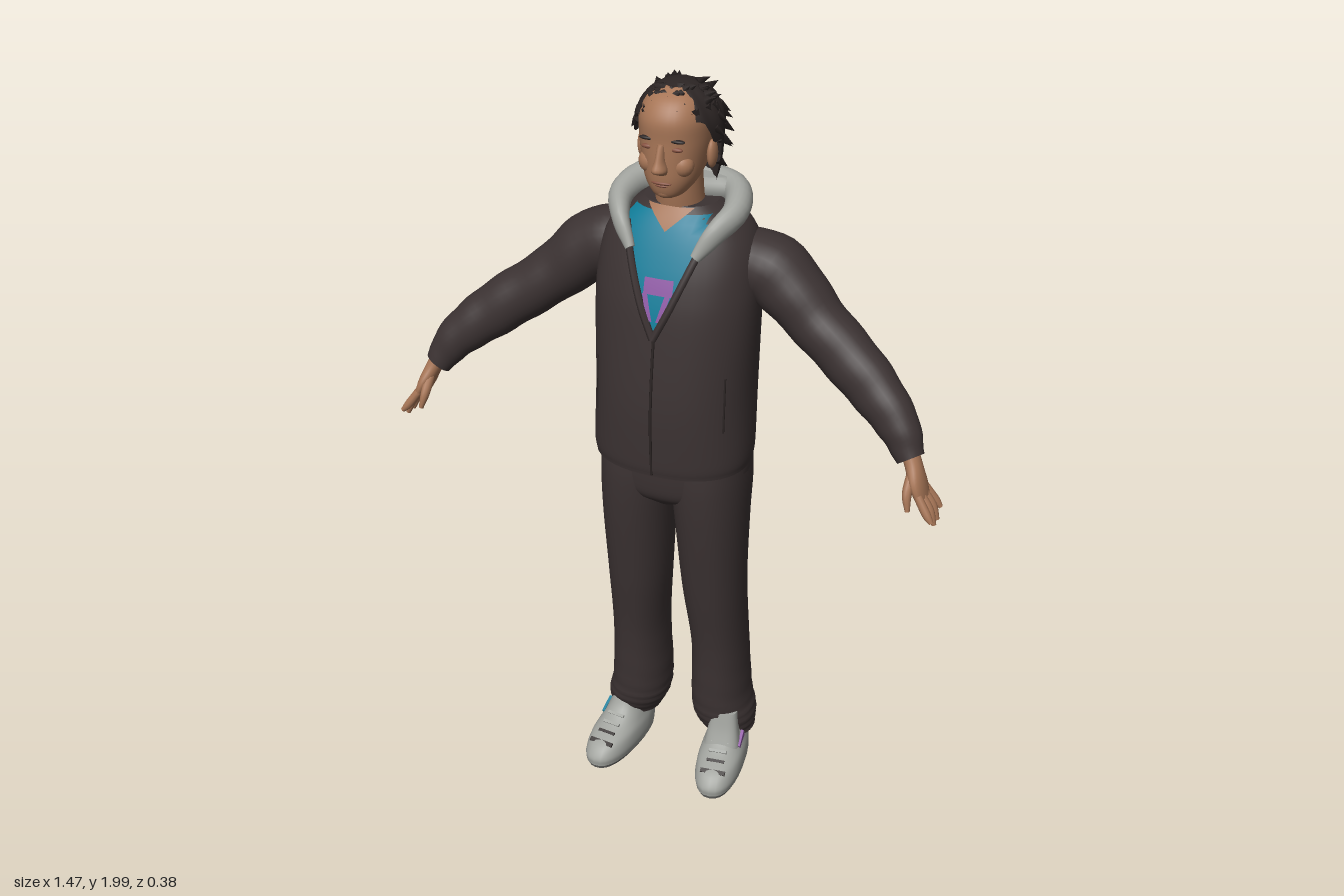
import * as THREE from 'three';

const V = (x, y, z) => new THREE.Vector3(x, y, z);
const mat = (name, color, side = THREE.FrontSide) => {
  const m = new THREE.MeshStandardMaterial({ color, side });
  m.name = name;
  return m;
};

// rows: [x, y, z, radius towards ref, radius across]; returns centre and radius curves
const curvesOf = rows => [
  new THREE.CatmullRomCurve3(rows.map(r => V(r[0], r[1], r[2])), false, 'catmullrom', 0.5),
  new THREE.CatmullRomCurve3(rows.map(r => V(r[3], r[4], 0)), false, 'catmullrom', 0.5),
];
const spow = (v, p) => Math.sign(v) * Math.pow(Math.abs(v), 2 / p);

// Skin of superelliptic rings along a curve, closed by end caps
function loft(rows, { ref = V(0, 0, 1), flat = false, p = 2, n = 28, sub = 5, ripple = null } = {}) {
  const [path, rad] = curvesOf(rows), steps = (rows.length - 1) * sub;
  const pos = [], idx = [];
  for (let i = 0; i <= steps; i++) {
    const k = i / steps, c = path.getPoint(k), r = rad.getPoint(k);
    const t = flat ? V(0, 1, 0) : path.getTangent(k);
    const u = ref.clone().addScaledVector(t, -ref.dot(t)).normalize(), v = t.clone().cross(u);
    for (let j = 0; j < n; j++) {
      const a = j / n * Math.PI * 2, w = ripple ? ripple(k, a) : 1;
      const q = c.clone().addScaledVector(u, spow(Math.cos(a), p) * r.x * w)
        .addScaledVector(v, spow(Math.sin(a), p) * r.y * w);
      pos.push(q.x, q.y, q.z);
      if (i < steps) {
        const b = i * n + j, d = i * n + (j + 1) % n;
        idx.push(b, d, d + n, b, d + n, b + n);
      }
    }
  }
  for (const end of [0, steps]) {
    const c = path.getPoint(end / steps), o = pos.length / 3;
    pos.push(...pos.slice(end * n * 3, (end + 1) * n * 3), c.x, c.y, c.z);
    for (let j = 0; j < n; j++) {
      const b = o + j, d = o + (j + 1) % n;
      end ? idx.push(o + n, b, d) : idx.push(o + n, d, b);
    }
  }
  return finish(pos, idx);
}
function finish(pos, idx) {
  const g = new THREE.BufferGeometry();
  g.setAttribute('position', new THREE.Float32BufferAttribute(pos, 3));
  g.setIndex(idx);
  g.computeVertexNormals();
  return g;
}
// Open grid f(u, v) -> Vector3
function sheet(nu, nv, f) {
  const pos = [], idx = [];
  for (let i = 0; i <= nv; i++) for (let j = 0; j <= nu; j++) {
    pos.push(...f(j / nu, i / nv).toArray());
    const b = i * (nu + 1) + j;
    if (i < nv && j < nu) idx.push(b, b + 1, b + nu + 2, b, b + nu + 2, b + nu + 1);
  }
  return finish(pos, idx);
}

// Jacket body rows, also used to lay panels on the chest
const TP = 2.3;
const torsoRows = [[.205, .995, .16, -.145], [.21, 1.04, .165, -.156], [.207, 1.2, .165, -.185], [.212, 1.4, .14, -.177],
  [.212, 1.5, .117, -.185], [.2, 1.58, .088, -.183], [.165, 1.64, .06, -.168], [.095, 1.69, .03, -.12]]
  .map(([rx, y, f, b]) => [0, y, (f + b) / 2, (f - b) / 2, rx]);
const [torsoPath, torsoRad] = curvesOf(torsoRows);
function chestZ(x, y) {
  let lo = 0, hi = 1;
  for (let i = 0; i < 24; i++) {
    const m = (lo + hi) / 2;
    torsoPath.getPoint(m).y < y ? lo = m : hi = m;
  }
  const r = torsoRad.getPoint(lo);
  return torsoPath.getPoint(lo).z + r.x * Math.pow(Math.max(0, 1 - Math.pow(Math.abs(x) / r.y, TP)), 1 / TP);
}

export function createModel() {
  const root = new THREE.Group();
  root.name = 'standingMan';
  const cloth = mat('dark cloth', 0x3b3232), hairM = mat('dark hair', 0x2c2524, THREE.DoubleSide);
  const skin = mat('skin', 0xa67556), grey = mat('light grey', 0xa0a29d), teal = mat('teal', 0x0f7c98, THREE.DoubleSide);
  const purple = mat('purple', 0x8f5aa5, THREE.DoubleSide), sole = mat('sole grey', 0x696967), lip = mat('lip', 0x84503f);
  const add = (name, geo, m) => {
    const o = new THREE.Mesh(geo, m);
    o.name = name;
    root.add(o);
    return o;
  };
  const ball = (name, m, [x, y, z], [a, b, c]) => add(name, new THREE.SphereGeometry(1, 20, 14).scale(a, b, c).translate(x, y, z), m);
  const cord = (name, pts, r, m) => add(name, new THREE.TubeGeometry(new THREE.CatmullRomCurve3(pts), 24, r, 6), m);
  const panel = (name, m, y0, y1, xl, xr, off) => add(name, sheet(10, 14, (u, v) => {
    const y = y0 + (y1 - y0) * v, x = xl(y) + (xr(y) - xl(y)) * u;
    return V(x, y, chestZ(x, y) + off);
  }), m);

  // Jacket, open collar and shirt front
  add('jacketBody', loft(torsoRows, { flat: true, p: TP, n: 48, sub: 6 }), cloth);
  const vee = y => .115 * Math.pow(Math.max(0, (y - 1.38) / .28), .9);
  panel('shirtFront', teal, 1.38, 1.675, y => -vee(y), vee, .004);
  panel('throat', skin, 1.635, 1.69, y => -(y - 1.635) * 1.1, y => (y - 1.635) * 1.1, .007);
  panel('shirtPrint', purple, 1.49, 1.53, () => -.034, () => .042, .007);
  for (const s of [-1, 1])
    panel('shirtPrintSide', purple, 1.425, 1.49, y => s * (y - 1.38) * .27 - .007, y => s * (y - 1.38) * .27 + .007, .007);
  const onChest = (x, y, off) => V(x, y, chestZ(x, y) + off);
  cord('zip', [1.0, 1.1, 1.2, 1.3, 1.38].map(y => onChest(0, y, 0)), .004, hairM);
  add('shirtHem', loft([[0, .968, -.02, .134, .19], [0, 1.03, -.02, .134, .195]], { flat: true, p: 2.4, n: 40 }), teal);

  // Hood: rolled collar around the neck and a pouch hanging behind
  const side = [[.085, 1.585, .085, .014, .012], [.125, 1.645, .05, .03, .022], [.15, 1.68, -.02, .036, .032], [.115, 1.7, -.1, .042, .035]];
  add('hoodCollar', loft([...side, [0, 1.7, -.13, .045, .035], ...side.map(r => [-r[0], ...r.slice(1)]).reverse()],
    { ref: V(0, 1, 0), n: 20 }), grey);
  add('hoodPouch', loft([[0, 1.56, -.172, .015, .02], [0, 1.595, -.155, .038, .07], [0, 1.65, -.128, .052, .13],
    [0, 1.7, -.1, .05, .14], [0, 1.735, -.088, .03, .1]], { flat: true }), grey);

  // Trousers
  add('trouserSeat', loft([[0, .865, -.01, .09, .05], [0, .9, -.01, .125, .17], [0, .95, -.01, .135, .197], [0, 1.03, -.01, .137, .2]],
    { flat: true, p: 2.3, n: 40 }), cloth);

  for (const s of [-1, 1]) {
    const side = s > 0 ? 'left' : 'right';
    const X = rows => rows.map(([x, ...r]) => [x * s, ...r]);
    cord(side + 'Lapel', [1.38, 1.45, 1.52, 1.59, 1.64].map(y => onChest(s * vee(y), y, .006)), .01, cloth);
    cord(side + 'Pocket', [1.13, 1.2, 1.28].map(y => onChest(s * .172, y, 0)), .003, hairM);

    // Sleeve and trouser leg with soft folds
    add(side + 'Sleeve', loft(X([[.1, 1.535, -.07, .085, .07], [.23, 1.515, -.072, .092, .09], [.36, 1.41, -.045, .077, .075],
      [.5, 1.308, 0, .063, .071], [.6, 1.225, .045, .05, .056], [.65, 1.15, .076, .033, .036]]),
      { sub: 8, ripple: (k, a) => 1 + .02 * Math.sin(k * 46 + 2 * Math.sin(a)) }), cloth);
    add(side + 'TrouserLeg', loft(X([[.142, .095, -.055, .07, .07], [.13, .15, -.052, .094, .084], [.12, .22, -.05, .1, .08],
      [.117, .4, -.04, .1, .074], [.108, .6, -.015, .105, .083], [.104, .8, -.005, .12, .093],
      [.1, .93, -.01, .134, .1], [.1, 1.02, -.01, .13, .096]]),
      { flat: true, p: 2.2, sub: 8, ripple: (k, a) => 1 + .025 * Math.max(0, 1 - k * 2.2) * Math.sin(k * 95 + 2 * Math.sin(a)) }), cloth);

    // Hand with four fingers and a thumb
    add(side + 'Palm', loft(X([[.64, 1.18, .07, .024, .022], [.66, 1.14, .083, .028, .021], [.677, 1.1, .094, .042, .019],
      [.692, 1.065, .098, .04, .014]]), { n: 18 }), skin);
    for (let i = 0; i < 4; i++) {
      const k = i - 1.5, b = .03 * Math.abs(k) / 1.5;
      add(side + 'Finger', loft(X([[.687, 1.08, .097 + k * .02, .011, .011], [.715, 1.04, .099 + k * .026, .011, .011],
        [.73, .992 + b, .102 + k * .028, .006, .006]]), { n: 10, sub: 4 }), skin);
    }
    add(side + 'Thumb', loft(X([[.662, 1.125, .1, .013, .013], [.662, 1.085, .135, .013, .012], [.67, 1.045, .15, .006, .006]]),
      { n: 10, sub: 4 }), skin);

    // Shoe, turned slightly outward
    const shoe = new THREE.Group();
    shoe.name = side + 'Shoe';
    shoe.position.set(s * .152, 0, 0);
    shoe.rotation.y = s * .12;
    root.add(shoe);
    const part = (name, geo, m) => shoe.add(Object.assign(add(name, geo, m), { name }));
    part('sole', loft([[0, 0, .035, .143, .054], [0, .012, .035, .147, .058]], { flat: true, p: 2.4 }), sole);
    part('upper', loft([[0, .012, .036, .148, .06], [0, .035, .036, .147, .064], [0, .065, .022, .132, .062], [0, .09, -.008, .102, .055],
      [0, .12, -.028, .078, .048], [0, .16, -.035, .06, .042]], { flat: true, p: 2.4 }), grey);
    part('toeSeam', new THREE.BoxGeometry(.07, .006, .012).rotateX(.6).translate(0, .066, .143), hairM);
    for (let i = 0; i < 3; i++)
      part('lace', new THREE.BoxGeometry(.05, .008, .008).rotateX(.6).translate(0, .08 + i * .014, .112 - i * .026), i ? grey : hairM);
    part('sideAccent', new THREE.BoxGeometry(.008, .03, .05).rotateX(.5).translate(s * .05, .093, .02), s > 0 ? purple : teal);
    if (s > 0) part('tongue', loft([[0, .09, .035, .04, .05], [0, .14, .025, .03, .042], [0, .19, .015, .027, .036]], { flat: true, p: 2.8 }), grey);

    // Ear, eye and brow
    ball(side + 'Ear', skin, [s * .09, 1.822, -.012], [.012, .036, .022]);
    ball(side + 'Eye', lip, [s * .036, 1.856, .084], [.017, .006, .007]);
    ball(side + 'Brow', hairM, [s * .038, 1.877, .084], [.021, .005, .008]);
    ball(side + 'Cheek', skin, [s * .04, 1.81, .058], [.03, .03, .028]);
  }

  // Neck, head and face
  add('neck', loft([[0, 1.6, -.04, .07, .075], [0, 1.66, -.035, .068, .062], [0, 1.72, -.025, .066, .058], [0, 1.79, -.02, .066, .058]],
    { flat: true }), skin);
  add('head', loft([[0, 1.722, .045, .02, .018], [0, 1.735, .03, .053, .042], [0, 1.77, .01, .083, .066], [0, 1.82, -.01, .105, .08],
    [0, 1.87, -.014, .108, .087], [0, 1.92, -.015, .108, .087], [0, 1.96, -.02, .088, .07], [0, 1.985, -.02, .045, .035]],
    { flat: true, p: 2.2, n: 36 }), skin);
  add('nose', loft([[0, 1.795, .095, .012, .016], [0, 1.807, .1, .026, .019], [0, 1.83, .095, .021, .012], [0, 1.868, .088, .012, .009]],
    { flat: true, n: 14 }), skin);
  ball('mouth', lip, [0, 1.769, .088], [.026, .005, .008]);
  ball('lowerLip', lip, [0, 1.762, .087], [.018, .004, .007]);
  ball('chin', skin, [0, 1.742, .066], [.025, .018, .02]);

  // Hair shell, longer behind the ears
  const step = THREE.MathUtils.smoothstep;
  const hairline = a => {
    const c = Math.cos(a);
    return 1.735 + .12 * step(c, -.3, 0) + .063 * step(c, .25, .6);
  };
  const hairAt = (a, y, grow = 0) => {
    const d = (y - 1.885) / (y > 1.885 ? .108 : .26), r = Math.sqrt(Math.max(0, 1 - d * d)) + grow;
    const w = 1 + .025 * Math.sin(a * 13 + y * 40);
    return V(Math.sin(a) * .107 * r * w, y, -.025 + Math.cos(a) * .117 * r * w);
  };
  add('hair', sheet(56, 18, (u, v) => {
    const a = u * Math.PI * 2, end = hairline(a);
    return hairAt(a, end + (1.993 - end) * Math.sin(v * Math.PI / 2));
  }), hairM);

  // Loose locks swept back and down
  let seed = 7;
  const rnd = () => (seed = (seed * 16807) % 2147483647) / 2147483647;
  for (let i = 0; i < 80; i++) {
    const a = rnd() * Math.PI * 2, low = hairline(a) + .012, y = low + (1.985 - low) * rnd();
    const base = hairAt(a, y, -.06), out = V(Math.sin(a), 0, Math.cos(a));
    const tip = base.clone().addScaledVector(out, .018 + .008 * rnd()).add(V(0, y > 1.95 ? .008 : -.028, -.016));
    tip.y = Math.min(tip.y, 2);
    const lock = add('hairLock', new THREE.ConeGeometry(.013, base.distanceTo(tip), 5), hairM);
    lock.position.copy(base).lerp(tip, .5);
    lock.quaternion.setFromUnitVectors(V(0, 1, 0), tip.sub(base).normalize());
  }
  return root;
}
